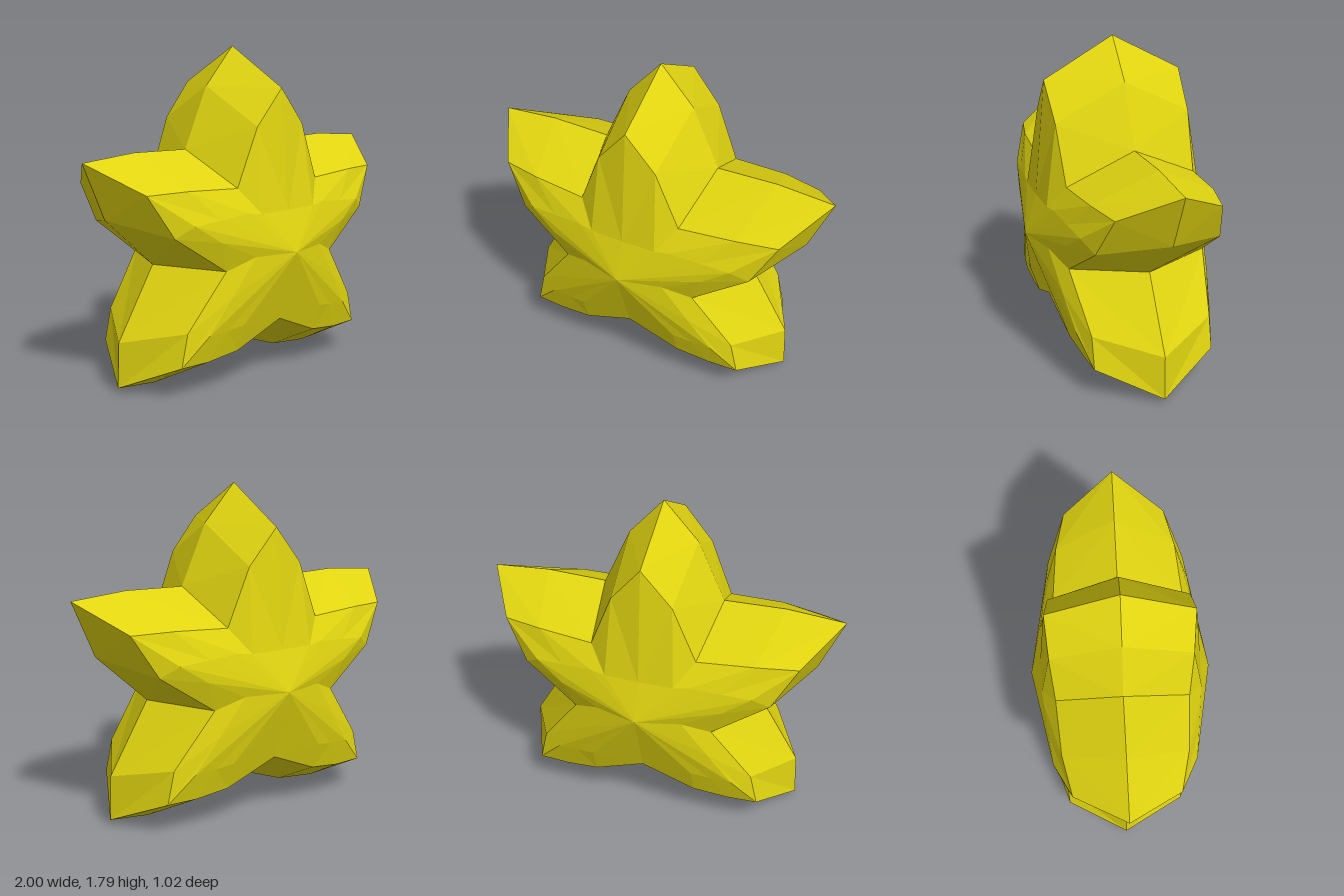
import * as THREE from 'three';

// Half contours of the star, from the top tip clockwise to the bottom notch: [x, y, z]
const rim = [
  [0, 1.79, 0], [0.19, 1.58, 0], [0.34, 1.25, 0], [0.68, 1.26, 0], [1, 1.235, 0], [0.87, 0.93, 0],
  [0.57, 0.655, 0], [0.8, 0.27, 0], [0.81, 0.025, 0], [0.57, 0, 0], [0.33, 0.025, 0], [0, 0.145, 0],
];
const crease = [
  [0, 1.58, 0.385], [0.165, 1.385, 0.375], [0.29, 1.075, 0.36], [0.6, 1.09, 0.335], [0.82, 1.085, 0.285], [0.69, 0.86, 0.34],
  [0.39, 0.655, 0.385], [0.61, 0.355, 0.335], [0.65, 0.18, 0.335], [0.48, 0.18, 0.345], [0.29, 0.205, 0.36], [0, 0.33, 0.385],
];
const inner = [
  [0, 0.94, 0.445], [0.19, 0.94, 0.44], [0.27, 0.95, 0.43], [0.44, 0.935, 0.41], [0.6, 0.92, 0.39], [0.45, 0.82, 0.42],
  [0.24, 0.72, 0.45], [0.38, 0.52, 0.42], [0.51, 0.33, 0.385], [0.39, 0.34, 0.395], [0.29, 0.355, 0.41], [0, 0.56, 0.46],
];
const centre = rim.map(() => [0, 0.72, 0.512]);

// Joins neighbouring contours on both sides of the mirror plane
function bands(rings) {
  const pos = [];
  const tri = (a, b, c) => {
    pos.push(...a, ...b, ...c);
    for (const p of [a, c, b]) pos.push(-p[0], p[1], p[2]);
  };
  for (let r = 0; r < rings.length - 1; r++) {
    const outer = rings[r], next = rings[r + 1];
    for (let i = 0; i < outer.length - 1; i++) {
      tri(outer[i + 1], outer[i], next[i]);
      if (next !== centre) tri(outer[i + 1], next[i], next[i + 1]);
    }
  }
  const geo = new THREE.BufferGeometry();
  geo.setAttribute('position', new THREE.Float32BufferAttribute(pos, 3));
  geo.computeVertexNormals();
  return geo;
}

export function createModel() {
  const group = new THREE.Group();
  group.name = 'star';
  const yellow = new THREE.MeshStandardMaterial({ color: 0xe0d410, flatShading: true });
  yellow.name = 'yellow';

  const sideGeo = bands([rim, crease]);
  const faceGeo = bands([crease, inner, centre]);

  // Front and back halves are identical
  for (const [side, turn] of [['front', 0], ['back', Math.PI]]) {
    const half = new THREE.Group();
    half.name = side + 'Half';
    half.rotation.y = turn;
    const bevel = new THREE.Mesh(sideGeo, yellow);
    bevel.name = side + 'Bevel';
    const face = new THREE.Mesh(faceGeo, yellow);
    face.name = side + 'Face';
    half.add(bevel, face);
    group.add(half);
  }
  return group;
}
